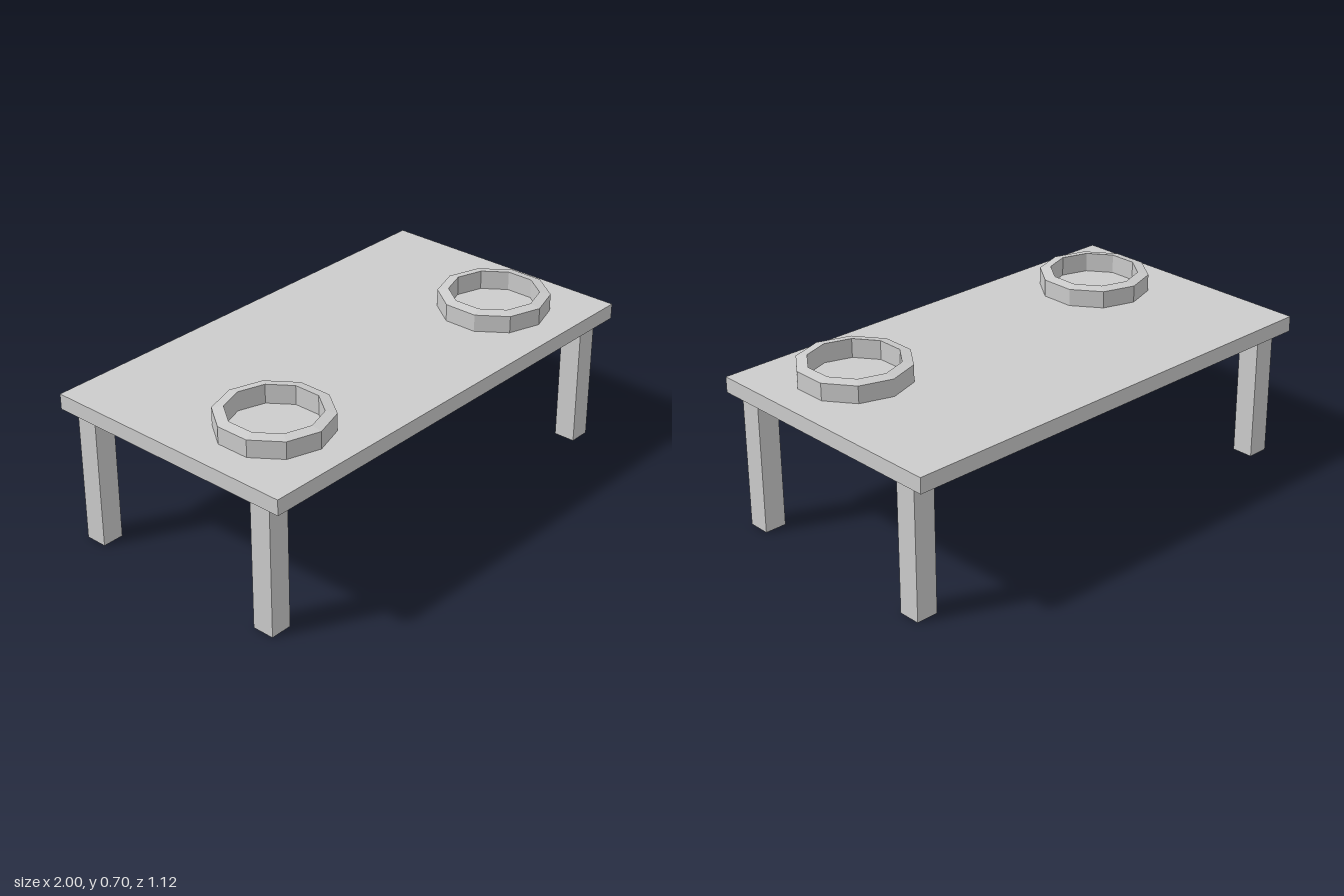
import * as THREE from 'three';

const LEG_HEIGHT = 0.56;
const TOP_HEIGHT = 0.625;

export function createModel() {
  const group = new THREE.Group();
  const material = new THREE.MeshStandardMaterial({ color: 0xcccccc, flatShading: true });

  const add = (name, geometry, x, y, z) => {
    const mesh = new THREE.Mesh(geometry, material);
    mesh.name = name;
    mesh.position.set(x, y, z);
    group.add(mesh);
  };

  // Table top
  const thickness = TOP_HEIGHT - LEG_HEIGHT;
  add('tableTop', new THREE.BoxGeometry(2, thickness, 1.12), 0, LEG_HEIGHT + thickness / 2, 0);

  // Ten-sided open ring: outer wall, rim rising inward, inner wall
  const ring = new THREE.LatheGeometry([
    new THREE.Vector2(0.23, 0),
    new THREE.Vector2(0.23, 0.072),
    new THREE.Vector2(0.185, 0.08),
    new THREE.Vector2(0.185, 0),
  ], 10);
  const leg = new THREE.BoxGeometry(0.093, LEG_HEIGHT, 0.093);

  for (const [side, sx] of [['left', 1], ['right', -1]]) {
    add(`${side}Ring`, ring, sx * 0.65, TOP_HEIGHT, 0.215);

    // Legs, set in slightly from the corners
    for (const [end, sz] of [['Front', 1], ['Back', -1]]) {
      add(`${side}${end}Leg`, leg, sx * 0.928, LEG_HEIGHT / 2, sz * 0.448);
    }
  }

  return group;
}
